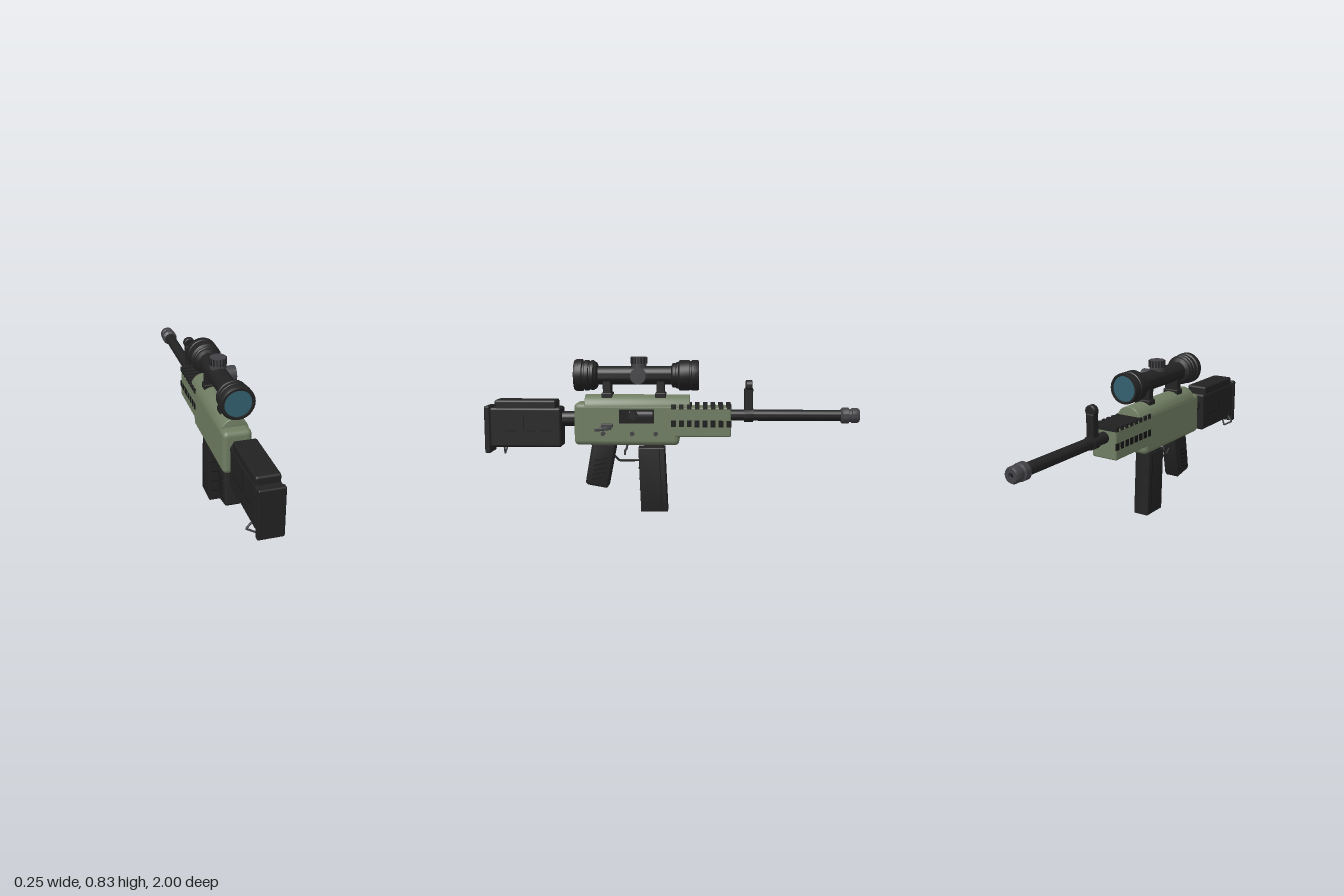
import * as THREE from 'three';
import { toCreasedNormals } from 'three/addons/utils/BufferGeometryUtils.js';
import { RoundedBoxGeometry } from 'three/addons/geometries/RoundedBoxGeometry.js';

const paint = (name, color, side = THREE.FrontSide) => {
  const m = new THREE.MeshStandardMaterial({ color, side });
  m.name = name;
  return m;
};

export function createModel() {
  const black = paint('matte black', 0x222222, THREE.DoubleSide);
  const dark = paint('recess black', 0x151515);
  const green = paint('olive green', 0x6f7d62);
  const grey = paint('gunmetal', 0x424246);
  const glass = paint('lens blue', 0x33606f);

  // All parts are built around x = 0; the side handle shifts the whole model.
  const model = new THREE.Group();
  model.name = 'rifle';
  const body = new THREE.Group();
  body.name = 'rifleBody';
  body.position.x = -0.035;
  model.add(body);

  const add = (name, geo, mat, x = 0, y = 0, z = 0) => {
    const mesh = new THREE.Mesh(geo, mat);
    mesh.name = name;
    mesh.position.set(x, y, z);
    body.add(mesh);
    return mesh;
  };
  // Box given by its limits, optionally with rounded edges
  const box = (name, mat, [x0, x1], [y0, y1], [z0, z1], r = 0) => {
    const s = [x1 - x0, y1 - y0, z1 - z0];
    const geo = r ? new RoundedBoxGeometry(...s, 2, r) : new THREE.BoxGeometry(...s);
    return add(name, geo, mat, (x0 + x1) / 2, (y0 + y1) / 2, (z0 + z1) / 2);
  };
  // Turned part along z, from [radius, z] pairs with z rising
  const turned = (name, mat, pts, y, x = 0) => {
    const geo = new THREE.LatheGeometry(pts.map(p => new THREE.Vector2(...p)), 32);
    return add(name, toCreasedNormals(geo.rotateX(Math.PI / 2), 0.6), mat, x, y, 0);
  };
  const rodX = (name, mat, r, x0, x1, y, z, seg = 20) =>
    add(name, new THREE.CylinderGeometry(r, r, x1 - x0, seg).rotateZ(Math.PI / 2), mat, (x0 + x1) / 2, y, z);
  const extrude = (shape, depth, b) => toCreasedNormals(new THREE.ExtrudeGeometry(shape, {
    depth: depth - 2 * b, bevelEnabled: b > 0, bevelSize: b, bevelThickness: b,
    bevelOffset: -b, bevelSegments: 3, curveSegments: 12 }), 0.6);
  // Side outline of [z, y] points, extruded across the width
  const slab = (name, mat, pts, w, b) => {
    const geo = extrude(new THREE.Shape(pts.map(p => new THREE.Vector2(...p))), w, b);
    return add(name, geo.rotateY(-Math.PI / 2).translate(w / 2 - b, 0, 0), mat);
  };
  const wire = (name, mat, pts, r) => {
    const path = new THREE.CurvePath();
    const v = pts.map(p => new THREE.Vector3(...p));
    for (let i = 1; i < v.length; i++) path.add(new THREE.LineCurve3(v[i - 1], v[i]));
    add(name, new THREE.TubeGeometry(path, 40, r, 8), mat);
  };

  // Receiver with its rounded top cover
  box('receiver', green, [-0.073, 0.073], [0.366, 0.592], [-0.045, 0.516], 0.026);
  const cover = new THREE.Shape();
  cover.moveTo(-0.072, 0.5);
  cover.lineTo(0.072, 0.5);
  cover.lineTo(0.072, 0.565);
  cover.absellipse(0, 0.565, 0.072, 0.069, 0, Math.PI, false, 0);
  cover.lineTo(-0.072, 0.5);
  add('topCover', extrude(cover, 0.56, 0.004), green, 0, 0, -0.096);

  // Handguard, rail slats and vent slots
  box('handguard', green, [-0.073, 0.073], [0.414, 0.57], [-0.318, 0.01], 0.008);
  for (let i = 0; i < 8; i++) {
    const z = -0.014 - i * 0.0418;
    box('railSlat', black, [-0.076, 0.076], [0.562, 0.586], [z - 0.012, z + 0.012]);
    for (const s of [-1, 1])
      box('ventSlot', dark, [s * 0.0735 - 0.002, s * 0.0735 + 0.002], [0.467, 0.502], [z - 0.013, z + 0.013]);
  }

  // Barrel, muzzle and front sight
  turned('barrel', black, [[0, -0.92], [0.03, -0.92], [0.03, -0.3], [0, -0.3]], 0.524);
  turned('muzzle', grey, [[0.014, -0.97], [0.014, -1], [0.034, -1], [0.04, -0.99], [0.04, -0.962],
    [0.034, -0.958], [0.034, -0.948], [0.043, -0.944], [0.043, -0.912], [0.036, -0.905], [0.028, -0.9]], 0.524);
  add('muzzleBore', new THREE.CircleGeometry(0.016, 20).rotateY(Math.PI), dark, 0, 0.524, -0.985);
  turned('sightCollar', black, [[0.03, -0.438], [0.036, -0.438], [0.036, -0.39], [0.03, -0.39]], 0.524);
  box('sightPost', black, [-0.022, 0.022], [0.53, 0.67], [-0.436, -0.39], 0.006);
  turned('sightHood', black, [[0, -0.432], [0.027, -0.432], [0.031, -0.427], [0.031, -0.402],
    [0.027, -0.397], [0, -0.397]], 0.682);

  // Telescopic sight
  turned('scopeTube', black, [[0.066, -0.135], [0.068, -0.147], [0.078, -0.147], [0.081, -0.14], [0.081, -0.11],
    [0.077, -0.107], [0.077, -0.1], [0.081, -0.097], [0.081, -0.045], [0.07, -0.038], [0.07, -0.028],
    [0.066, -0.024], [0.066, -0.008], [0.05, 0], [0.05, 0.39], [0.07, 0.398], [0.075, 0.41], [0.08, 0.414],
    [0.08, 0.426], [0.076, 0.429], [0.076, 0.437], [0.082, 0.44], [0.082, 0.46], [0.078, 0.463],
    [0.078, 0.47], [0.086, 0.474], [0.086, 0.505], [0.08, 0.516], [0.069, 0.516], [0.067, 0.505]], 0.736);
  add('rearLens', new THREE.CircleGeometry(0.068, 32), glass, 0, 0.736, 0.508);
  add('frontLens', new THREE.CircleGeometry(0.067, 32).rotateY(Math.PI), glass, 0, 0.736, -0.139);
  add('topTurret', new THREE.CylinderGeometry(0.041, 0.041, 0.06, 24), grey, 0, 0.805, 0.173);
  for (let i = 0; i < 16; i++) {
    const a = i * Math.PI / 8;
    const rib = add('turretRib', new THREE.BoxGeometry(0.008, 0.034, 0.006), black,
      0.041 * Math.cos(a), 0.815, 0.173 + 0.041 * Math.sin(a));
    rib.rotation.y = -a;
  }
  rodX('sideTurret', grey, 0.042, 0.03, 0.087, 0.736, 0.173, 24);
  for (const z of [0.342, 0.056]) {
    box('scopeMount', black, [-0.04, 0.04], [0.61, 0.72], [z - 0.022, z + 0.022], 0.006);
    box('mountFoot', black, [-0.046, 0.046], [0.6, 0.645], [z - 0.029, z + 0.029], 0.006);
  }

  // Ejection port and bolt with its handle
  box('ejectionPort', dark, [0.07, 0.0755], [0.485, 0.56], [0.09, 0.275]);
  add('bolt', new THREE.CylinderGeometry(0.018, 0.018, 0.125, 16).rotateX(Math.PI / 2), grey, 0.068, 0.534, 0.158);
  rodX('boltHub', grey, 0.017, 0.07, 0.094, 0.534, 0.195);
  rodX('boltHandle', black, 0.009, 0.085, 0.13, 0.537, 0.195);
  rodX('boltKnob', black, 0.022, 0.12, 0.162, 0.537, 0.195);

  // Selector lever and side pins
  const lever = box('selectorLever', grey, [0.07, 0.084], [0.446, 0.464], [0.315, 0.405], 0.004);
  lever.rotation.x = 0.12;
  box('selectorTab', grey, [0.07, 0.09], [0.464, 0.484], [0.308, 0.37], 0.004);
  for (const z of [0.36, 0.205, 0.08]) rodX('sidePin', grey, 0.012, 0.065, 0.084, 0.43, z, 12);

  // Buttstock
  turned('stockTube', black, [[0.04, 0.5], [0.04, 0.6]], 0.502);
  box('stock', black, [-0.063, 0.063], [0.352, 0.566], [0.585, 0.972], 0.014);
  box('cheekRest', black, [-0.059, 0.059], [0.54, 0.606], [0.612, 0.945], 0.012);
  box('buttPlate', black, [-0.064, 0.064], [0.32, 0.573], [0.968, 1], 0.008);
  for (const s of [-1, 1]) {
    const x = [s * 0.063 - 0.001, s * 0.063 + 0.001];
    box('stockSeam', dark, x, [0.44, 0.53], [0.785, 0.79]);
    for (const z of [0.64, 0.72, 0.83]) box('stockSeam', dark, x, [0.438, 0.443], [z, z + 0.055]);
  }
  wire('slingLoop', grey, [[-0.055, 0.372, 0.915], [-0.087, 0.333, 0.915], [-0.036, 0.303, 0.915],
    [-0.018, 0.36, 0.915]], 0.005);

  // Pistol grip with side ribs
  slab('pistolGrip', black, [[0.418, 0.39], [0.298, 0.39], [0.298, 0.345], [0.338, 0.14], [0.348, 0.128],
    [0.45, 0.146], [0.462, 0.16], [0.43, 0.34]], 0.09, 0.012);
  for (let i = 0; i < 5; i++) {
    const rib = box('gripRib', dark, [-0.049, 0.049], [0.178 + i * 0.026, 0.186 + i * 0.026],
      [0.362 - i * 0.005, 0.43 - i * 0.005]);
    rib.rotation.x = 0.2;
  }

  // Magazine with its raised bands
  box('magazineWell', black, [-0.04, 0.04], [0.335, 0.38], [0.04, 0.145]);
  slab('magazine', black, [[0.176, 0.35], [0.034, 0.35], [0.017, 0], [0.162, 0]], 0.09, 0.006);
  for (const y of [0.06, 0.12, 0.18, 0.24])
    box('magazineBand', dark, [-0.04, 0.04], [y - 0.002, y + 0.002], [0.02 + y * 0.045, 0.164 + y * 0.045]);
  for (const s of [-1, 1])
    slab('magazineGroove', dark, [[0.066, 0.34], [0.061, 0.34], [0.045, 0.01], [0.05, 0.01]], 0.002, 0)
      .position.x = s * 0.045;

  // Trigger and guard
  wire('triggerGuard', black, [[0, 0.32, 0.32], [0, 0.3, 0.308], [0, 0.274, 0.28], [0, 0.276, 0.16]], 0.006);
  wire('trigger', grey, [[0, 0.375, 0.238], [0, 0.345, 0.24], [0, 0.328, 0.25], [0, 0.305, 0.252]], 0.006);

  return model;
}
